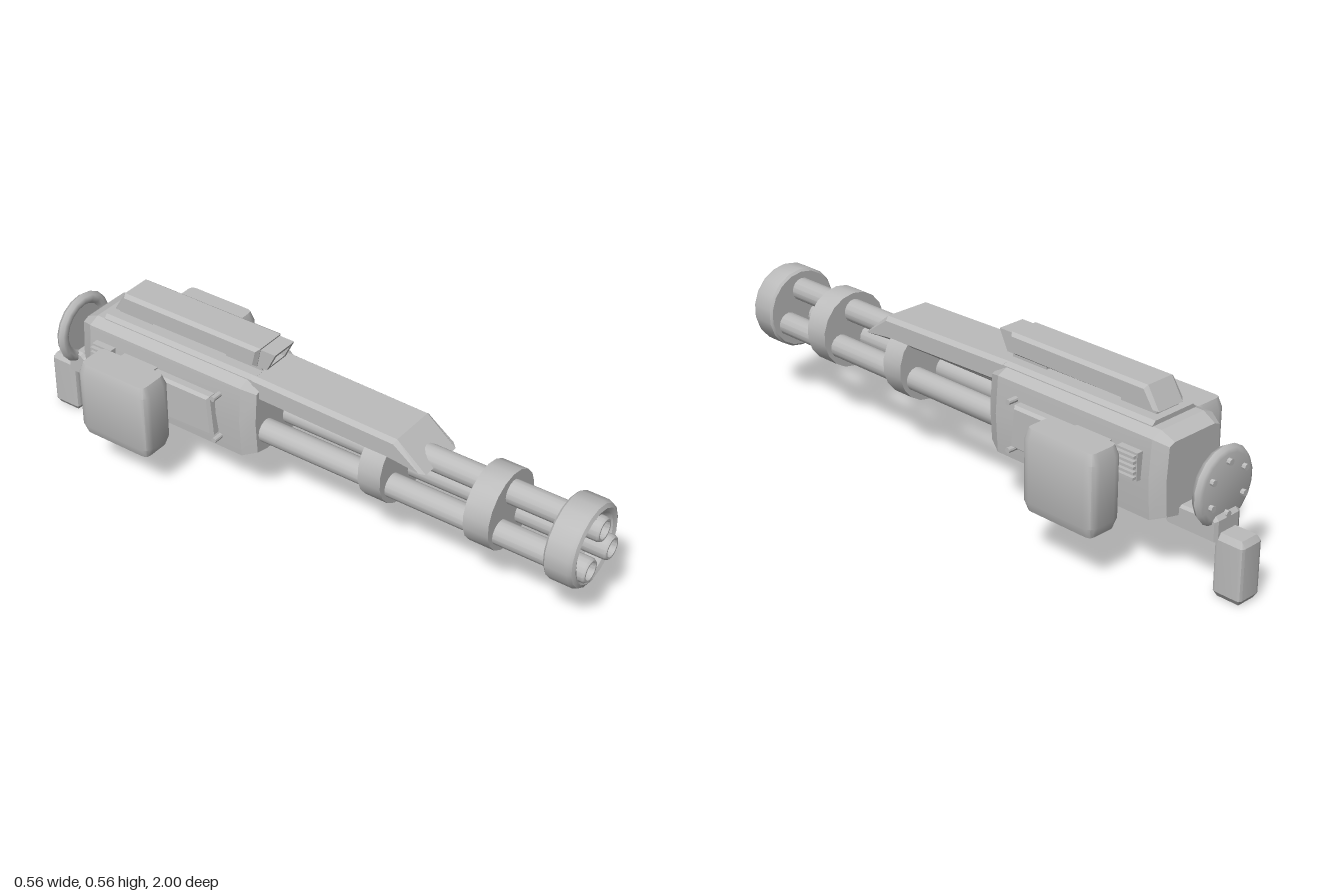
import * as THREE from 'three';
import { toCreasedNormals } from 'three/addons/utils/BufferGeometryUtils.js';

const metal = new THREE.MeshStandardMaterial({ color: 0xbcbcbc });
metal.name = 'plain grey metal';

export function createModel() {
  const root = new THREE.Group();
  root.name = 'rotaryBlaster';

  const add = (name, geo, x = 0, y = 0, z = 0, crease = 0.56) => {
    const mesh = new THREE.Mesh(toCreasedNormals(geo, crease), metal);
    mesh.name = name;
    mesh.position.set(x, y, z);
    root.add(mesh);
    return mesh;
  };
  const box = (name, x0, x1, y0, y1, z0, z1) =>
    add(name, new THREE.BoxGeometry(x1 - x0, y1 - y0, z1 - z0), (x0 + x1) / 2, (y0 + y1) / 2, (z0 + z1) / 2);
  const shapeOf = pts => new THREE.Shape(pts.map(p => new THREE.Vector2(p[0], p[1])));
  const mirrored = half => [...half, ...half.slice().reverse().map(([x, y]) => [-x, y])];

  // Extrusion centred on its own axis, with bevels kept inside the outline
  const extrude = (shape, depth, inset = 0, bevelDepth = 0) => {
    const geo = new THREE.ExtrudeGeometry(shape, {
      depth: depth - 2 * bevelDepth, bevelEnabled: inset > 0, bevelSize: inset, bevelOffset: -inset,
      bevelThickness: bevelDepth, bevelSegments: 1, curveSegments: 4,
    });
    return geo.translate(0, 0, bevelDepth - depth / 2);
  };
  // Side profile in (z, y), extruded across x
  const sideways = (pts, width, inset, bevel) => extrude(shapeOf(pts), width, inset, bevel).rotateY(-Math.PI / 2);
  // Rounded plan extruded upward with chamfered ends
  const pad = (w, d, h, r, inset, bevel) => {
    const s = new THREE.Shape(), a = w / 2, b = d / 2;
    s.moveTo(-a + r, -b).lineTo(a - r, -b).quadraticCurveTo(a, -b, a, -b + r);
    s.lineTo(a, b - r).quadraticCurveTo(a, b, a - r, b);
    s.lineTo(-a + r, b).quadraticCurveTo(-a, b, -a, b - r);
    s.lineTo(-a, -b + r).quadraticCurveTo(-a, -b, -a + r, -b);
    return extrude(s, h, inset, bevel).rotateX(-Math.PI / 2);
  };
  // Turned part along z, profile given as [radius, z]
  const turned = (pts, segments) =>
    new THREE.LatheGeometry(pts.map(p => new THREE.Vector2(p[0], p[1])), segments).rotateX(Math.PI / 2);

  // Three hollow barrels
  const axisY = 0.32;
  for (let i = 0; i < 3; i++) {
    const a = Math.PI / 2 + i * Math.PI * 2 / 3;
    add('barrel', turned([[0, -0.2], [0.038, -0.2], [0.038, 0.993], [0.034, 1], [0.028, 1], [0.026, 0.993],
      [0.026, 0.9], [0, 0.9]], 16), 0.07 * Math.cos(a), 0.316 + 0.07 * Math.sin(a), 0);
  }

  // Muzzle collar with a dished front, and two clamp rings
  add('muzzleCollar', turned([[0, 0.885], [0.126, 0.885], [0.133, 0.892], [0.133, 0.963], [0.128, 0.975],
    [0.116, 0.981], [0.102, 0.975], [0.092, 0.96], [0.085, 0.93], [0.06, 0.912], [0, 0.905]], 18), 0, axisY, 0);
  for (const [z0, z1] of [[0.625, 0.708], [0.268, 0.345]])
    add('clampRing', turned([[0, z0], [0.125, z0], [0.125, z1], [0, z1]], 18), 0, axisY, 0);

  // Sloped barrel shroud
  const shroud = sideways([[0.47, 0.383], [0.37, 0.465], [-0.15, 0.477], [-0.15, 0.4], [0.36, 0.388]],
    0.184, 0.012, 0.014);
  add('barrelShroud', shroud, 0, 0, 0, 0.3);

  // Receiver body with bevelled ends
  const section = mirrored([[0.06, 0.188], [0.125, 0.203], [0.134, 0.33], [0.125, 0.447], [0.088, 0.463]]);
  add('body', extrude(shapeOf(section), 0.675, 0.022, 0.045), 0, 0, -0.4475, 0.3);
  add('topRidge', extrude(shapeOf(mirrored([[0.09, 0.43], [0.09, 0.465], [0.078, 0.477]])), 0.58), 0, 0, -0.42);
  add('bellyPanel', pad(0.11, 0.22, 0.016, 0.012, 0.006, 0.005), 0, 0.187, -0.42);

  // Top rail with a hooded sight at its front
  const railSide = [[-0.15, 0.488], [-0.135, 0.556], [-0.655, 0.556], [-0.697, 0.488]];
  add('topRail', sideways(railSide, 0.124, 0.01, 0.013), 0, 0, 0, 0.3);
  const hood = shapeOf([[-0.047, 0.487], [0.047, 0.487], [0.047, 0.551], [-0.047, 0.551]]);
  hood.holes.push(new THREE.Path([[-0.034, 0.497], [-0.034, 0.538], [0.034, 0.538], [0.034, 0.497]]
    .map(p => new THREE.Vector2(...p))));
  const hoodGeo = extrude(hood, 0.08).translate(0, 0, -0.13);
  const p = hoodGeo.attributes.position;
  for (let i = 0; i < p.count; i++)
    if (p.getZ(i) > -0.1) p.setZ(i, -0.115 + (p.getY(i) - 0.487) * 0.5);
  add('sightHood', hoodGeo);
  for (const [z0, z1] of [[-0.27, -0.135], [-0.685, -0.555]]) box('railMount', -0.045, 0.045, 0.455, 0.492, z0, z1);

  // Parts repeated on both sides
  for (const s of [1, -1]) {
    add('sidePod', pad(0.124, 0.268, 0.255, 0.032, 0.012, 0.032), s * 0.218, 0.292, -0.533);
    const plate = sideways([[-0.25, 0.395], [-0.238, 0.26], [-0.6, 0.25], [-0.6, 0.395]], 0.05, 0.008, 0.01);
    add('sidePlate', plate, s * 0.137, 0, 0, 0.3);
    box('podBracket', s > 0 ? 0.11 : -0.17, s > 0 ? 0.17 : -0.11, 0.235, 0.4, -0.6, -0.47);
    for (const y of [0.247, 0.4])
      add('sideBolt', new THREE.CylinderGeometry(0.009, 0.009, 0.05, 10).rotateZ(Math.PI / 2), s * 0.138, y, -0.232);
    // Slatted vent
    add('ventBlock', new THREE.BoxGeometry(0.03, 0.085, 0.075), s * 0.136, 0.362, -0.675);
    for (let i = 0; i < 5; i++)
      add('ventSlat', new THREE.BoxGeometry(0.016, 0.008, 0.07), s * 0.156, 0.33 + i * 0.016, -0.675);
  }

  // Rear disc with a rounded rim and six bolts
  add('rearDisc', turned([[0, -0.9], [0.1, -0.904], [0.112, -0.9], [0.12, -0.888], [0.112, -0.874],
    [0.1, -0.87], [0.088, -0.874], [0.08, -0.884], [0, -0.884]], 18), 0, axisY, 0, 0.9);
  for (let i = 0; i < 6; i++) {
    const a = (i + 0.5) * Math.PI / 3;
    add('discBolt', new THREE.CylinderGeometry(0.01, 0.01, 0.025, 8).rotateX(Math.PI / 2),
      0.078 * Math.cos(a), axisY + 0.078 * Math.sin(a), -0.903);
  }

  // Rear bracket and hand grip
  add('gripBracket', sideways([[-0.7, 0.235], [-0.72, 0.195], [-0.745, 0.168], [-0.915, 0.168], [-0.915, 0.235],
    [-0.9, 0.25], [-0.86, 0.25], [-0.85, 0.24]], 0.108, 0.006, 0.012), 0, 0, 0, 0.3);
  add('handGrip', pad(0.085, 0.098, 0.197, 0.012, 0.012, 0.018), 0, 0.0985, -0.951, 0.4);

  return root;
}
